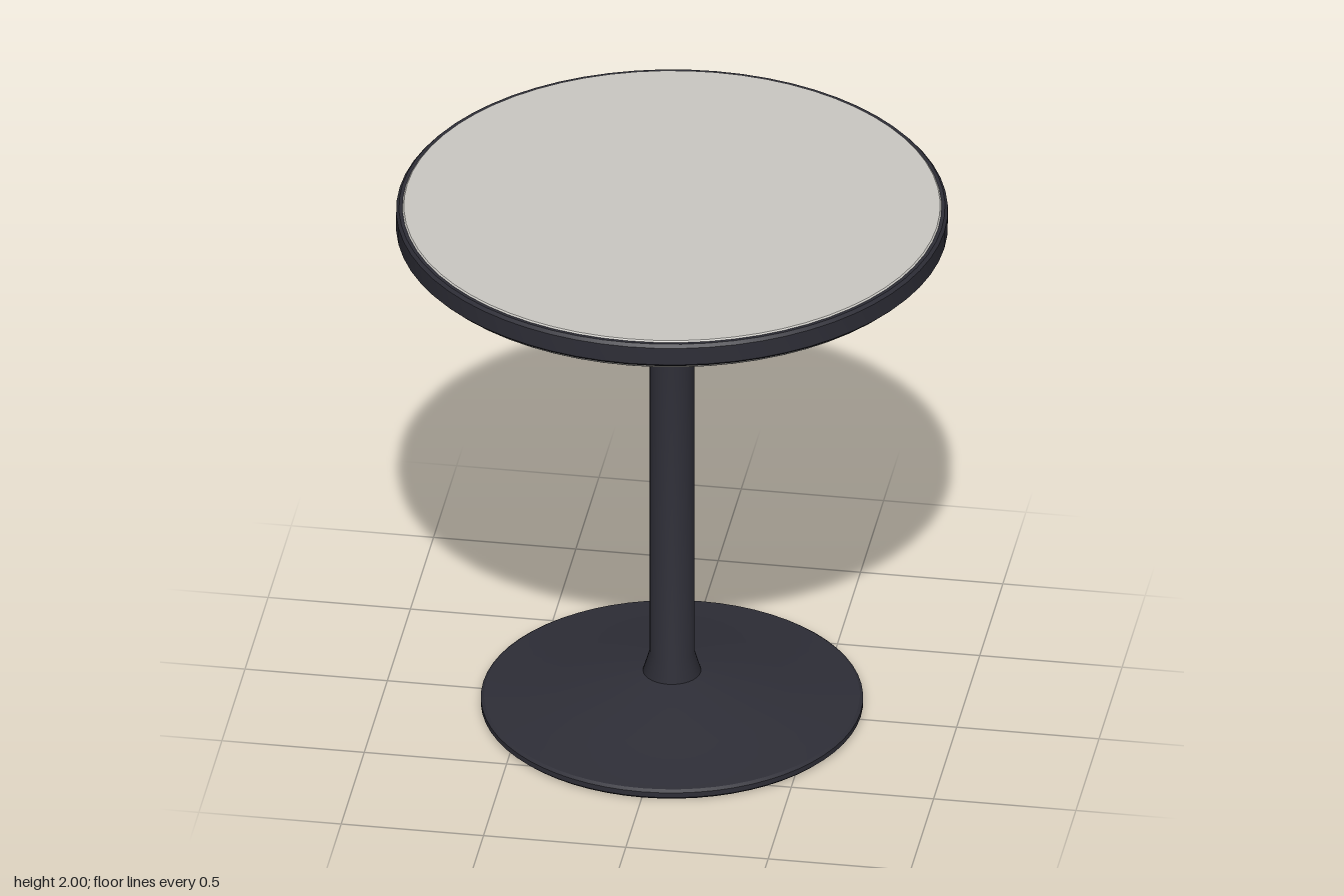
import * as THREE from 'three';
import { toCreasedNormals } from 'three/addons/utils/BufferGeometryUtils.js';

const darkMetal = new THREE.MeshStandardMaterial({ color: 0x2e2e37 });
darkMetal.name = 'dark metal';
const paleTop = new THREE.MeshStandardMaterial({ color: 0xcac8c3 });
paleTop.name = 'pale laminate';

// Turned part from a [radius, height] profile listed bottom to top
function turned(name, profile, material, segments = 64) {
  const points = profile.map(([r, y]) => new THREE.Vector2(r, y));
  const geometry = toCreasedNormals(new THREE.LatheGeometry(points, segments), 0.35);
  const mesh = new THREE.Mesh(geometry, material);
  mesh.name = name;
  return mesh;
}

export function createModel() {
  const table = new THREE.Group();
  table.name = 'pedestalTable';

  // Shallow cone foot with a bevelled edge
  table.add(turned('base', [
    [0, 0], [0.652, 0], [0.663, 0.01], [0.663, 0.029], [0.652, 0.037],
    [0.4, 0.066], [0.125, 0.137], [0, 0.137],
  ], darkMetal));

  // Column with a flared foot and a collar near the top
  table.add(turned('column', [
    [0.101, 0.13], [0.101, 0.137], [0.078, 0.215], [0.078, 1.605],
    [0.106, 1.66], [0.106, 1.695], [0.078, 1.735], [0.078, 1.83],
  ], darkMetal, 32));

  // Tapered mounting plate under the top
  table.add(turned('mountingPlate', [
    [0, 1.82], [0.16, 1.82], [0.265, 1.855], [0.265, 1.895], [0, 1.895],
  ], darkMetal, 48));

  // Round table top
  table.add(turned('tableTop', [
    [0, 1.893], [0.93, 1.893], [0.936, 1.899], [0.936, 1.994], [0.93, 2], [0, 2],
  ], paleTop));

  // Edge band around the top
  table.add(turned('edgeBand', [
    [0.93, 1.908], [0.947, 1.908], [0.957, 1.918], [0.957, 1.984],
    [0.947, 1.995], [0.93, 1.995],
  ], darkMetal));

  return table;
}
